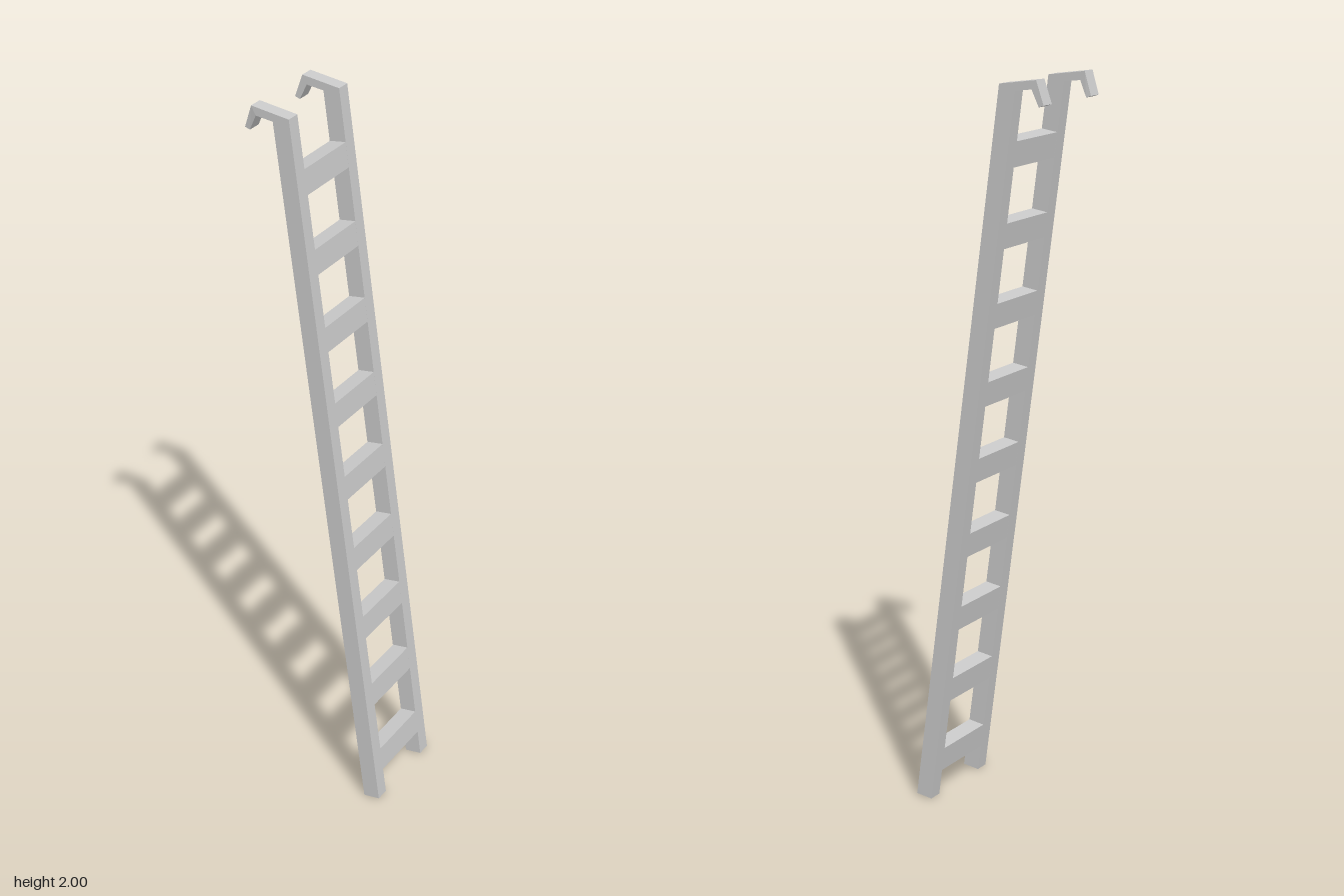
import * as THREE from 'three';

// Leaning ladder with two hooked side rails and flush rungs
const LEAN = 0.1357;      // tilt from vertical
const DEPTH = 0.047;      // rail and rung thickness
const RUNGS = 9;
const PITCH = 0.2122;     // vertical spacing of the rungs

// x of the rails' outer edge at height y
const outerX = (y) => 0.2 - Math.tan(LEAN) * (y - 0.006);

export function createModel() {
  const model = new THREE.Group();
  model.name = 'ladder';
  const material = new THREE.MeshStandardMaterial({ color: 0xcccccc, flatShading: true });

  // Rail side profile, ending in the hook
  const profile = new THREE.Shape([
    [0.153, 0], [0.2, 0.006], [-0.07, 1.985], [-0.178, 2],
    [-0.2, 1.938], [-0.186, 1.933], [-0.165, 1.976], [-0.116, 1.97],
  ].map(([x, y]) => new THREE.Vector2(x, y)));

  for (const side of [1, -1]) {
    const geometry = new THREE.ExtrudeGeometry(profile, { depth: 0.04, bevelEnabled: false });
    geometry.translate(0, 0, side > 0 ? 0.1 : -0.14);
    // The left hook's tip is bent slightly inward
    if (side > 0) {
      const p = geometry.attributes.position;
      for (let i = 0; i < p.count; i++) {
        if (p.getX(i) < -0.183) p.setZ(i, p.getZ(i) - 0.005);
      }
      geometry.computeVertexNormals();
    }
    const rail = new THREE.Mesh(geometry, material);
    rail.name = side > 0 ? 'leftRail' : 'rightRail';
    model.add(rail);
  }

  // Rungs, square to the rails
  const rungGeometry = new THREE.BoxGeometry(DEPTH, 0.068, 0.2);
  for (let i = 0; i < RUNGS; i++) {
    const y = 0.113 + i * PITCH;
    const rung = new THREE.Mesh(rungGeometry, material);
    rung.name = `rung${i + 1}`;
    rung.position.set(
      outerX(y) - Math.cos(LEAN) * DEPTH / 2,
      y - Math.sin(LEAN) * DEPTH / 2,
      0,
    );
    rung.rotation.z = LEAN;
    model.add(rung);
  }
  return model;
}
